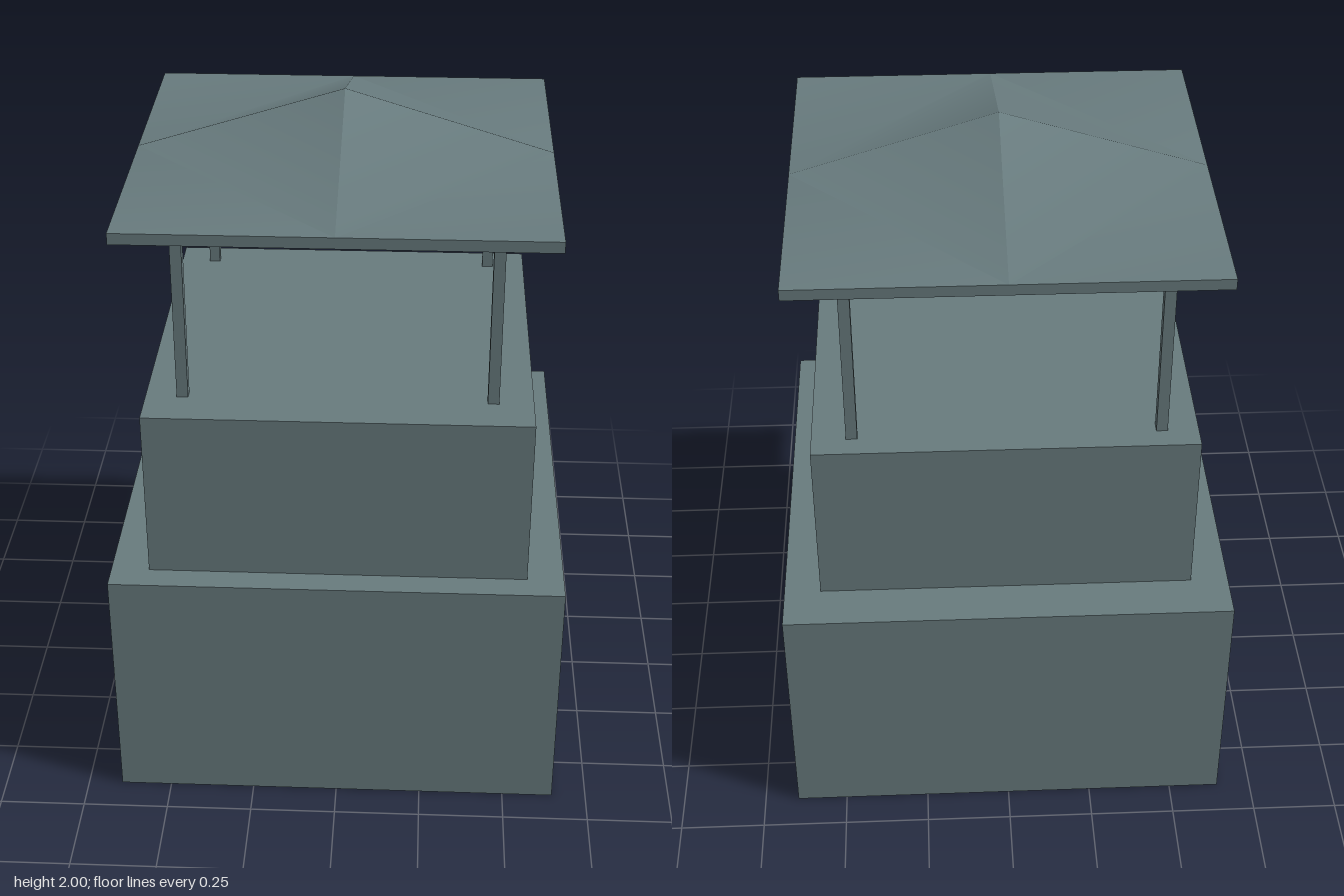
import * as THREE from 'three';
import { toCreasedNormals } from 'three/addons/utils/BufferGeometryUtils.js';

// Square roof: the ridges run from the apex to the middle of each edge,
// and the four corners lie flat at eave height.
function roofGeometry(half, bottom, eave, apex) {
  const ring = [];
  const signs = [[0, 1], [1, 1], [1, 0], [1, -1], [0, -1], [-1, -1], [-1, 0], [-1, 1]];
  for (const [x, z] of signs) ring.push([x * half, z * half]);
  const at = (i, y) => [ring[i % 8][0], y, ring[i % 8][1]];
  const pos = [];
  const tri = (a, b, c) => pos.push(...a, ...b, ...c);

  for (let i = 0; i < 8; i += 2) {
    const m0 = at(i, eave), corner = at(i + 1, eave), m1 = at(i + 2, eave);
    tri([0, apex, 0], m0, m1);
    tri(m0, corner, m1);
  }
  // eave rim and underside
  for (let i = 0; i < 8; i++) {
    tri(at(i, bottom), at(i + 1, bottom), at(i + 1, eave));
    tri(at(i, bottom), at(i + 1, eave), at(i, eave));
    tri([0, bottom, 0], at(i + 1, bottom), at(i, bottom));
  }
  const geometry = new THREE.BufferGeometry();
  geometry.setAttribute('position', new THREE.Float32BufferAttribute(pos, 3));
  return toCreasedNormals(geometry, Math.PI / 6);
}

export function createModel() {
  const model = new THREE.Group();
  model.name = 'watchtower';
  const stone = new THREE.MeshStandardMaterial({ color: 0x687b7e });
  stone.name = 'slate grey';

  const add = (name, geometry, x, y, z) => {
    const mesh = new THREE.Mesh(geometry, stone);
    mesh.name = name;
    mesh.position.set(x, y, z);
    model.add(mesh);
  };
  const block = (name, width, y0, y1, x, z) =>
    add(name, new THREE.BoxGeometry(width, y1 - y0, width), x, (y0 + y1) / 2, z);

  // stepped tower
  block('lowerTier', 1.298, 0, 0.737, 0, 0);
  block('upperTier', 1.084, 0.737, 1.244, 0.002, 0.03);

  // four roof posts
  for (const x of [-0.436, 0.431])
    for (const z of [-0.43, 0.437])
      block('roofPost', 0.032, 1.244, 1.787, x, z);

  // roof
  add('roof', roofGeometry(0.588, 1.787, 1.819, 2), 0, 0, 0.027);
  return model;
}
